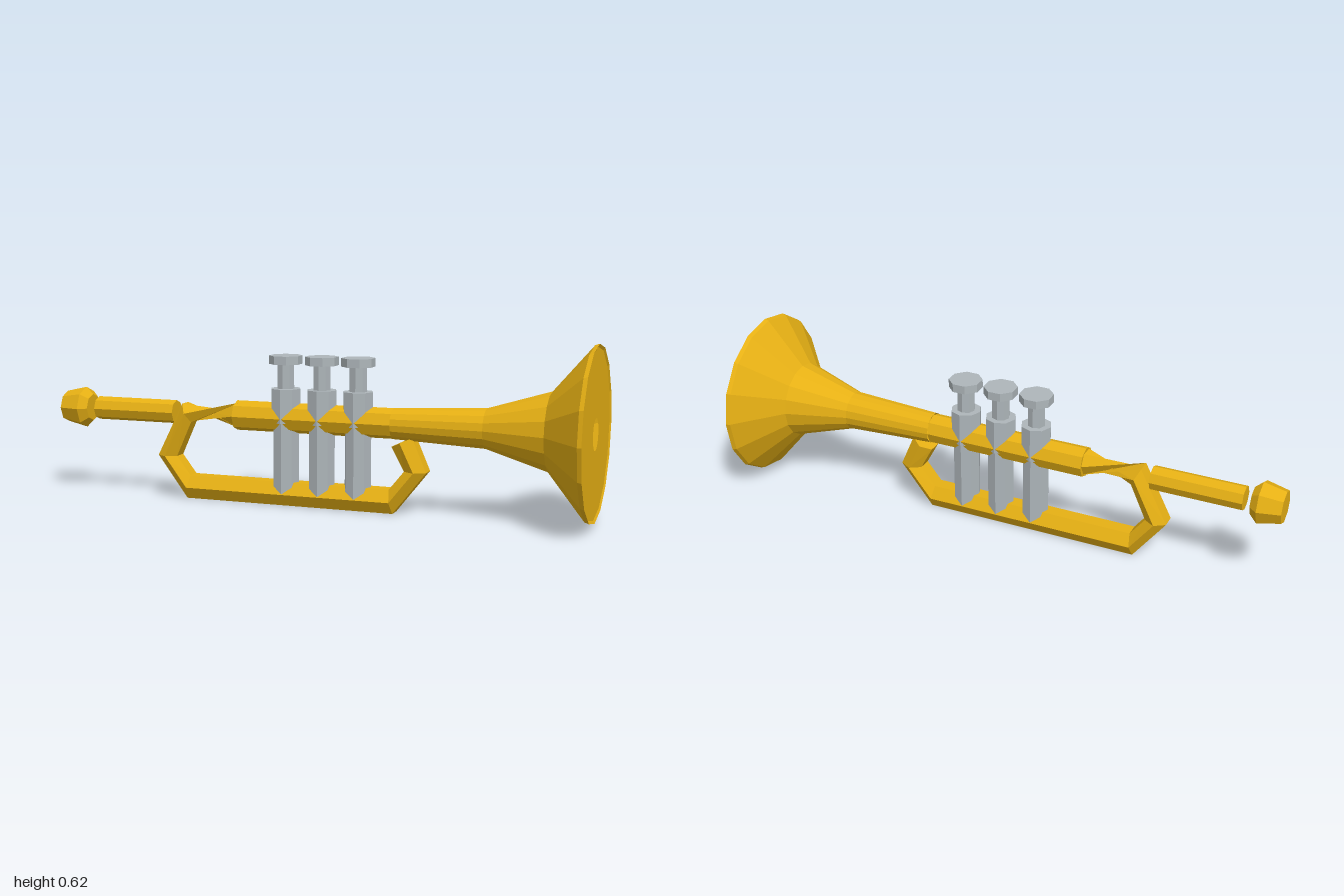
import * as THREE from 'three';

const gold = new THREE.MeshStandardMaterial({ color: 0xe6b014, flatShading: true, side: THREE.DoubleSide });
const silver = new THREE.MeshStandardMaterial({ color: 0xaeb6ba, flatShading: true, side: THREE.DoubleSide });
const AXIS_Y = 0.316;

// Turned part along the x axis; profile is [x, radius] pairs
function turned(name, profile, sides) {
  const geo = new THREE.LatheGeometry(profile.map(([x, r]) => new THREE.Vector2(r, x)), sides);
  geo.rotateZ(-Math.PI / 2);
  const mesh = new THREE.Mesh(geo, gold);
  mesh.name = name;
  mesh.position.y = AXIS_Y;
  return mesh;
}

// Six-sided pipe lofted through rings: [x, y, tilt of the ring's outward axis, half width, twist]
function hexPipe(rings) {
  const n = 6, pos = [], idx = [];
  for (const [x, y, tilt, half, twist] of rings) {
    for (let i = 0; i < n; i++) {
      const a = (i / n) * Math.PI * 2 + twist;
      const u = (half / 0.866) * Math.sin(a);
      pos.push(x + u * Math.cos(tilt), y + u * Math.sin(tilt), 0.05 * Math.cos(a));
    }
  }
  for (let r = 0; r < rings.length - 1; r++) {
    for (let i = 0; i < n; i++) {
      const a = r * n + i, b = r * n + ((i + 1) % n);
      idx.push(a, b, a + n, b, b + n, a + n);
    }
  }
  // end caps
  const last = (rings.length - 1) * n;
  for (let i = 1; i < n - 1; i++) idx.push(0, i + 1, i, last, last + i, last + i + 1);
  const geo = new THREE.BufferGeometry();
  geo.setAttribute('position', new THREE.Float32BufferAttribute(pos, 3));
  geo.setIndex(idx);
  geo.computeVertexNormals();
  const mesh = new THREE.Mesh(geo, gold);
  mesh.name = 'tuningPipe';
  return mesh;
}

// Upright eight-sided cylinder between two heights
function upright(name, r, y0, y1, turn = 0) {
  const geo = new THREE.CylinderGeometry(r, r, y1 - y0, 8);
  geo.rotateY(turn);
  const mesh = new THREE.Mesh(geo, silver);
  mesh.name = name;
  mesh.position.y = (y0 + y1) / 2;
  return mesh;
}

export function createModel() {
  const model = new THREE.Group();
  model.name = 'trumpet';

  // Flared bell with a flat face and a central bore
  model.add(turned('bell', [
    [0.3, 0.055], [0.63, 0.07], [0.85, 0.137], [0.985, 0.295], [1, 0.3], [0.995, 0.29], [0.995, 0.055],
  ], 16));
  model.add(turned('mainTube', [[-0.295, 0], [-0.295, 0.054], [0.3, 0.054]], 8));
  model.add(turned('leadPipe', [[-0.865, 0], [-0.865, 0.043], [-0.54, 0.043], [-0.54, 0]], 8));
  model.add(turned('mouthpiece', [
    [-1, 0], [-1, 0.058], [-0.92, 0.076], [-0.892, 0.05], [-0.892, 0],
  ], 8));

  // Pipe looping under the valves, twisted where it joins the main tube
  const P = Math.PI;
  model.add(hexPipe([
    [-0.285, 0.318, P / 2, 0.043, P * 2 / 3],
    [-0.488, 0.317, P * 0.65, 0.038, 0],
    [-0.567, 0.155, P, 0.038, 0],
    [-0.482, 0.043, P * 1.45, 0.043, 0],
    [0.297, 0.043, P * 1.55, 0.043, 0],
    [0.385, 0.153, P * 2, 0.04, 0],
    [0.336, 0.255, P * 2.14, 0.041, P / 3],
  ]));

  // Three valves
  for (const x of [-0.105, 0.032, 0.168]) {
    const valve = new THREE.Group();
    valve.name = 'valve';
    valve.position.x = x;
    valve.add(
      upright('lowerCasing', 0.049, 0.045, 0.32),
      upright('upperCasing', 0.055, 0.3, 0.422),
      upright('valveStem', 0.032, 0.42, 0.515),
      upright('fingerButton', 0.06, 0.51, 0.54, P / 8),
    );
    model.add(valve);
  }
  return model;
}
